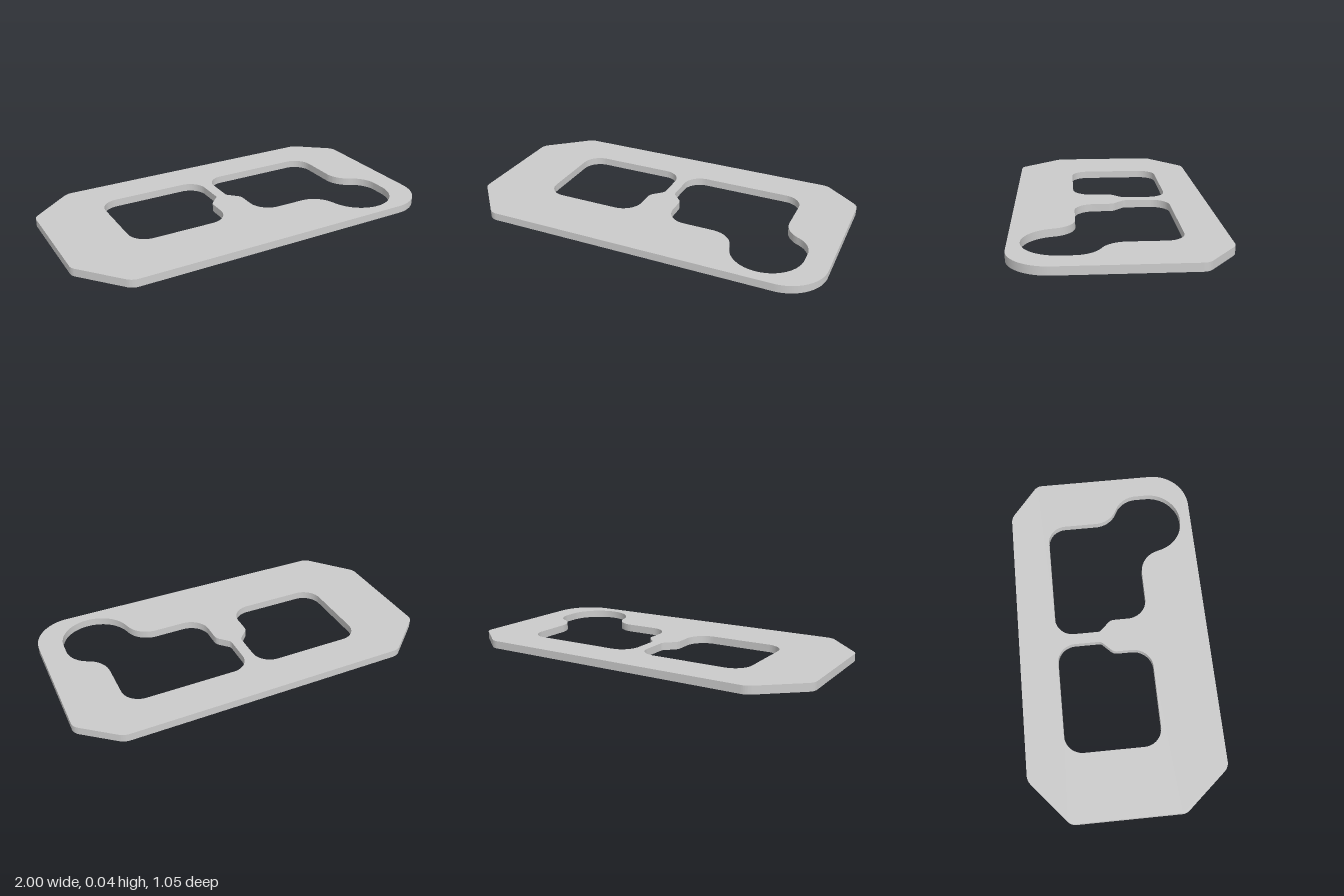
import * as THREE from 'three';
import { toCreasedNormals } from 'three/addons/utils/BufferGeometryUtils.js';

const THICKNESS = 0.042;

// Closed path through [x, z, radius] corners, each rounded by a tangent arc.
function roundedPath(corners, path) {
  const pts = corners.map(([x, z]) => new THREE.Vector2(x, -z));
  const n = pts.length;
  pts.forEach((p, i) => {
    const r = corners[i][2];
    const din = p.clone().sub(pts[(i + n - 1) % n]).normalize();
    const dout = pts[(i + 1) % n].clone().sub(p).normalize();
    const turn = Math.atan2(din.cross(dout), din.dot(dout));
    const side = Math.sign(turn);
    const start = p.clone().addScaledVector(din, -r * Math.tan(Math.abs(turn) / 2));
    const cx = start.x - din.y * side * r;
    const cy = start.y + din.x * side * r;
    const a = Math.atan2(start.y - cy, start.x - cx);
    path.absarc(cx, cy, r, a, a + turn, side < 0);
  });
  path.closePath();
  return path;
}

export function createModel() {
  const group = new THREE.Group();
  group.name = 'cutoutPlate';

  // Outer edge, counter-clockwise: three chamfered corners and one large round corner
  const outline = roundedPath([
    [-1, -0.318, 0.06], [-1, 0.282, 0.06],
    [-0.79, 0.527, 0.07], [1, 0.527, 0.21],
    [1, -0.364, 0.06], [0.797, -0.527, 0.08], [-0.757, -0.527, 0.08],
  ], new THREE.Shape());

  // Left window, clockwise, with a stepped inner side
  const leftWindow = roundedPath([
    [-0.64, -0.318, 0.1], [-0.03, -0.318, 0.1],
    [-0.03, -0.073, 0.03], [-0.095, -0.008, 0.05],
    [-0.095, 0.202, 0.11], [-0.64, 0.202, 0.1],
  ], new THREE.Path());

  // Right window, clockwise, flowing into a round lobe at the front corner
  const rightWindow = roundedPath([
    [0.03, -0.318, 0.1], [0.71, -0.318, 0.1],
    [0.71, 0.052, 0.14], [0.873, 0.132, 0.14],
    [0.873, 0.465, 0.186], [0.54, 0.465, 0.188],
    [0.47, 0.202, 0.135], [0.093, 0.202, 0.11],
    [0.093, -0.008, 0.05], [0.03, -0.073, 0.03],
  ], new THREE.Path());

  outline.holes.push(leftWindow, rightWindow);

  // Flat plate, laid down on the ground
  const geometry = new THREE.ExtrudeGeometry(outline, {
    depth: THICKNESS, bevelEnabled: false, curveSegments: 12,
  });
  geometry.rotateX(-Math.PI / 2);
  const plate = new THREE.Mesh(
    toCreasedNormals(geometry, 0.5),
    new THREE.MeshStandardMaterial({ color: 0xcccccc }),
  );
  plate.name = 'plate';
  group.add(plate);
  return group;
}
